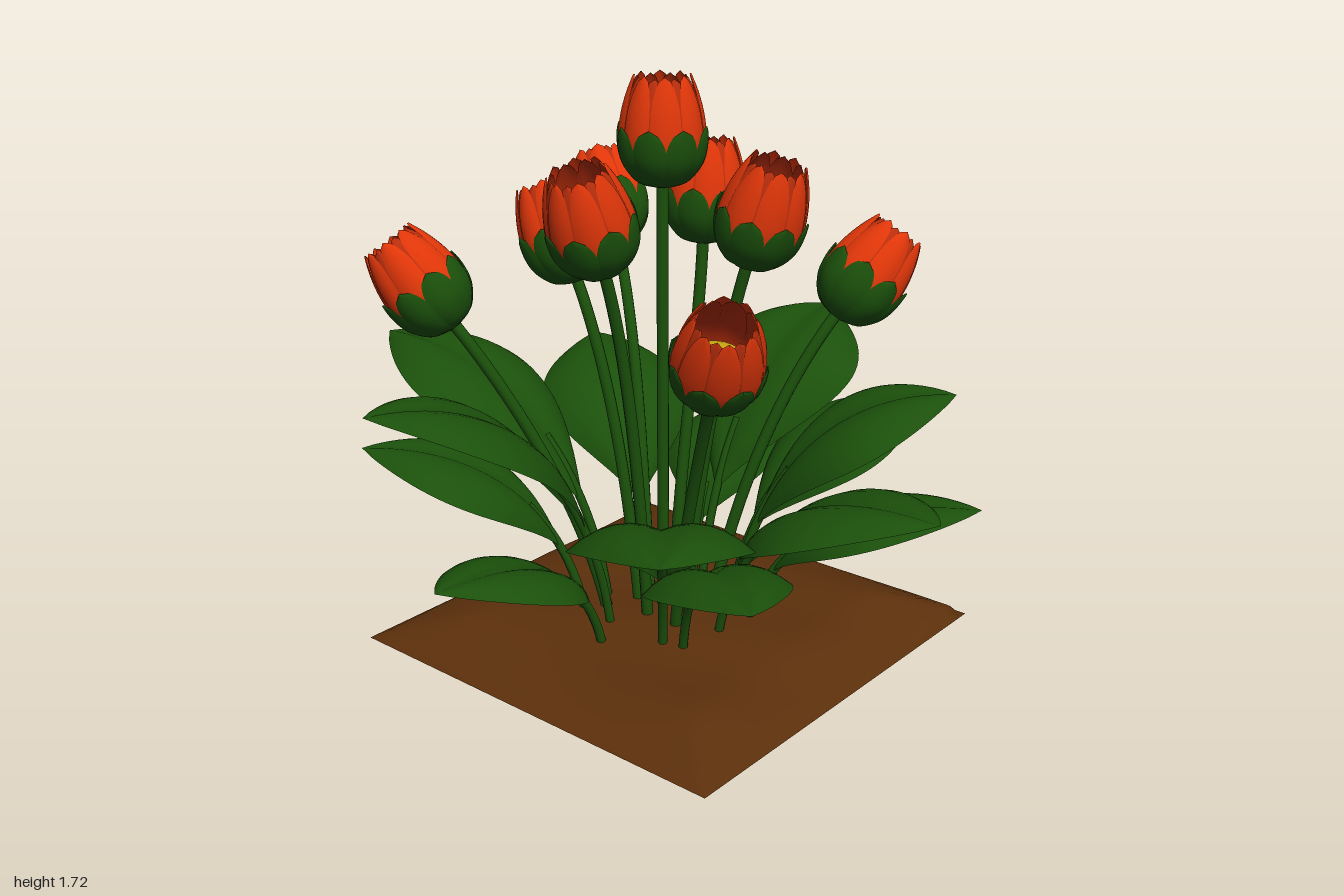
import * as THREE from 'three';

const mat = (color) => new THREE.MeshStandardMaterial({ color, side: THREE.DoubleSide });
const V = (x, y, z) => new THREE.Vector3(x, y, z);
const UP = V(0, 1, 0);

const green = mat(0x1b500b), petalRed = mat(0xe03609), innerRed = mat(0xb92e0c);
const yellow = mat(0xc2a312), brown = mat(0x5c300c);

function add(parent, name, geometry, material) {
  const mesh = new THREE.Mesh(geometry, material);
  mesh.name = name;
  parent.add(mesh);
  return mesh;
}

// Grid surface from a rule point(u, v), u and v in 0..1
function surface(nu, nv, point) {
  const pos = [], index = [];
  for (let j = 0; j <= nv; j++)
    for (let i = 0; i <= nu; i++) pos.push(...point(i / nu, j / nv).toArray());
  for (let j = 0; j < nv; j++)
    for (let i = 0; i < nu; i++) {
      const a = j * (nu + 1) + i, b = a + nu + 1;
      index.push(a, a + 1, b, a + 1, b + 1, b);
    }
  const g = new THREE.BufferGeometry();
  g.setAttribute('position', new THREE.Float32BufferAttribute(pos, 3));
  g.setIndex(index);
  g.computeVertexNormals();
  return g;
}

// Bud outline: x is radius, y is height above the stem
const budCurve = new THREE.SplineCurve([[0.015, 0], [0.07, 0.018], [0.113, 0.07], [0.127, 0.13],
  [0.121, 0.2], [0.105, 0.265], [0.084, 0.322]].map((p) => new THREE.Vector2(...p)));

// One petal hugging the bud, with a rounded tip that bends by tipBend
function petalGeometry(v0, v1, halfAngle, offset, tipBend) {
  return surface(6, 16, (u, v) => {
    const p = budCurve.getPoint(v0 + (v1 - v0) * v);
    const k = Math.max(0, (v - 0.65) / 0.35);
    const a = (u * 2 - 1) * halfAngle * Math.sqrt(Math.max(0, 1 - k * k));
    const r = p.x + offset + tipBend * k * k - 0.005 * (u * 2 - 1) ** 2;
    return V(Math.sin(a) * r, p.y, Math.cos(a) * r);
  });
}
const COUNT = 8, STEP = (Math.PI * 2) / COUNT;
const rings = [
  ['innerPetal', petalGeometry(0.3, 0.97, STEP * 0.56, -0.007, -0.003), innerRed, 0.5],
  ['outerPetal', petalGeometry(0.2, 1, STEP * 0.48, 0, -0.002), petalRed, 0],
  ['sepal', petalGeometry(0, 0.62, STEP * 0.53, 0.005, 0.004), green, 0.5],
];

function makeFlower(center, dir) {
  const flower = new THREE.Group();
  flower.name = 'flower';
  for (const [name, geometry, material, shift] of rings)
    for (let i = 0; i < COUNT; i++)
      add(flower, name, geometry, material).rotation.y = (i + shift) * STEP;
  const heart = add(flower, 'flowerHeart', new THREE.SphereGeometry(0.1, 24, 12), yellow);
  heart.scale.y = 0.35;
  heart.position.y = 0.11;
  flower.quaternion.setFromUnitVectors(UP, dir);
  flower.position.copy(center).addScaledVector(dir, -0.162);
  return flower;
}

// Leaf: slim stalk arching outwards, blade widening along it to a pointed end
function makeLeaf(x, y, z, halfWidth) {
  const leaf = new THREE.Group();
  leaf.name = 'leaf';
  const R = Math.hypot(x, z), r0 = 0.16 + 0.2 * (1 - y);
  const spine = new THREE.CubicBezierCurve3(V(0, 0.04, r0), V(0, y * 0.6, r0 + 0.06 * R),
    V(0, y * 1.03, R * 0.54), V(0, y, R));
  const start = 0.25;
  add(leaf, 'leafBlade', surface(12, 28, (u, v) => {
    const t = start + (1 - start) * v;
    const p = spine.getPoint(t), d = spine.getTangent(t);
    const s = u * 2 - 1;
    const w = halfWidth * 4.42 * Math.pow(v, 1.3) * Math.pow(1 - v, 0.9);
    const lift = w * (0.45 * Math.abs(s) - 0.68 * s * s); // creased midrib, drooping rims
    return V(s * w, p.y + d.z * lift, p.z - d.y * lift);
  }), green);
  const stalk = new THREE.CatmullRomCurve3([0, 0.12, 0.24, 0.36, 0.46].map((t) => {
    const p = spine.getPoint(t);
    p.y -= 0.006;
    return p;
  }));
  add(leaf, 'leafStalk', new THREE.TubeGeometry(stalk, 18, 0.014, 8), green);
  leaf.rotation.y = Math.atan2(x, z);
  return leaf;
}

export function createModel() {
  const model = new THREE.Group();
  model.name = 'floweringPlant';

  // Square soil patch, gently uneven, thinning to the rim
  const soil = new THREE.Group();
  soil.name = 'soil';
  model.add(soil);
  const x0 = -0.65, z0 = -0.69, size = 1.325;
  add(soil, 'soilTop', surface(36, 36, (u, v) => {
    const x = x0 + size * (1 - u), z = z0 + size * v;
    const edge = Math.min(u, 1 - u, v, 1 - v) * size;
    const rise = THREE.MathUtils.smoothstep(edge, -0.1, 0.26);
    const base = THREE.MathUtils.smoothstep(edge, -0.001, 0.03);
    const bumps = 0.008 * Math.sin(x * 7 + 1) * Math.cos(z * 6) + 0.005 * Math.sin(z * 13 + x * 5);
    return V(x, base * rise * (0.074 - 0.015 * z + bumps), z);
  }), brown);
  const under = add(soil, 'soilBottom', new THREE.PlaneGeometry(size, size), brown);
  under.rotation.x = Math.PI / 2;
  under.position.set(x0 + size / 2, 0, z0 + size / 2);

  // Flowers: centre, then facing direction
  const flowers = [
    [-0.03, 1.555, -0.03, 0, 1, 0],
    [-0.065, 1.34, -0.27, -0.02, 1, -0.08],
    [0.285, 1.35, -0.09, 0.32, 1, -0.02],
    [-0.405, 1.21, 0.01, -0.46, 1, 0.03],
    [0, 1.355, 0.31, 0, 1, 0.36],
    [0.375, 1.11, -0.5, 0.42, 1, -0.7],
    [0.45, 1.06, 0.31, 0.52, 1, 0.44],
    [-0.58, 1.22, -0.4, -0.66, 1, -0.36],
    [-0.56, 1.11, 0.435, -0.64, 1, 0.42],
  ];
  for (const [x, y, z, dx, dy, dz] of flowers) {
    const c = V(x, y, z), d = V(dx, dy, dz).normalize();
    model.add(makeFlower(c, d));
    const end = c.clone().addScaledVector(d, -0.155);
    const curve = new THREE.CubicBezierCurve3(V(x * 0.24, 0.04, z * 0.24),
      V(x * 0.34, end.y * 0.4, z * 0.34), end.clone().addScaledVector(d, -0.3), end);
    add(model, 'flowerStem', new THREE.TubeGeometry(curve, 28, 0.018, 10), green);
  }

  // Leaves: tip position, then half width
  const leaves = [
    [-0.03, 0.85, -0.9, 0.28], [-0.26, 0.49, -0.75, 0.19], [0.38, 0.63, -0.81, 0.23],
    [-0.8, 0.67, -0.57, 0.25], [0.675, 0.78, -0.545, 0.25], [0.85, 0.5, -0.42, 0.19],
    [1, 0.67, 0.085, 0.25], [-1, 0.82, 0.2, 0.25], [0.78, 0.54, 0.59, 0.2],
    [0.64, 0.69, 0.775, 0.25], [-0.03, 0.455, 0.9, 0.19], [-0.3, 0.88, 0.885, 0.25],
    [-0.7, 0.6, 0.58, 0.21],
  ];
  for (const leaf of leaves) model.add(makeLeaf(...leaf));

  return model;
}
